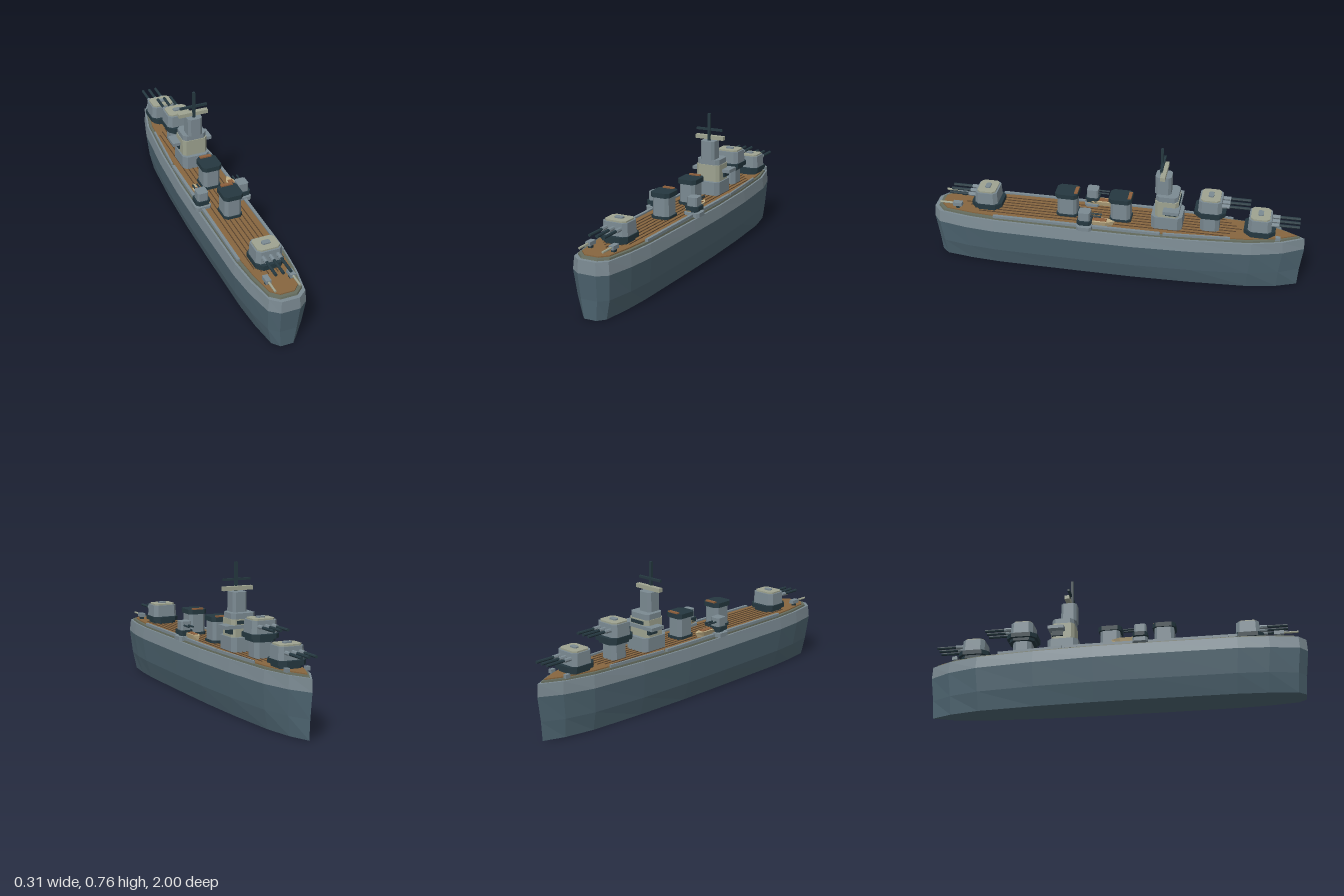
import * as THREE from 'three';

const paint = (name, color) => {
  const m = new THREE.MeshStandardMaterial({ color });
  m.name = name;
  return m;
};

export function createModel() {
  const M = {
    hull: paint('lower hull slate', 0x4d6470),
    grey: paint('ship grey', 0x7b8a92),
    olive: paint('deck edge olive', 0x666d5f),
    wood: paint('deck wood', 0x87663f),
    seam: paint('deck seam', 0x59432e),
    dark: paint('dark steel', 0x253840),
    cream: paint('pale roof', 0x9ea390),
    boat: paint('boat cream', 0xbfae86),
    rust: paint('warm brown', 0x8d5f3c),
  };
  const ship = new THREE.Group();
  ship.name = 'warship';

  const add = (parent, name, geo, mat) => {
    const mesh = new THREE.Mesh(geo, mat);
    mesh.name = name;
    parent.add(mesh);
    return mesh;
  };
  const group = (parent, name, x, y, z) => {
    const g = new THREE.Group();
    g.name = name;
    g.position.set(x, y, z);
    parent.add(g);
    return g;
  };

  // Flat-faced loft through rings of [x, y, z] points, capped at both ends
  const loft = (rings) => {
    const v = [], n = rings[0].length;
    const tri = (...p) => p.forEach((q) => v.push(...q));
    for (let r = 0; r < rings.length - 1; r++) {
      for (let i = 0; i < n; i++) {
        const j = (i + 1) % n, lo = rings[r], hi = rings[r + 1];
        tri(lo[i], hi[j], lo[j]);
        tri(lo[i], hi[i], hi[j]);
      }
    }
    [rings[0], rings[rings.length - 1]].forEach((ring, top) => {
      const c = [0, 1, 2].map((k) => ring.reduce((s, p) => s + p[k], 0) / n);
      for (let i = 0; i < n; i++) {
        const j = (i + 1) % n;
        if (top) tri(c, ring[j], ring[i]);
        else tri(c, ring[i], ring[j]);
      }
    });
    const g = new THREE.BufferGeometry();
    g.setAttribute('position', new THREE.Float32BufferAttribute(v, 3));
    g.computeVertexNormals();
    return g;
  };
  // Block with cut corners; w and d are half sizes
  const octagon = (w, d, c, y) => [
    [c - w, y, -d], [w - c, y, -d], [w, y, c - d], [w, y, d - c],
    [w - c, y, d], [c - w, y, d], [-w, y, d - c], [-w, y, c - d],
  ];
  const block = (parent, name, mat, w, d, c, y0, y1, taper = 1) =>
    add(parent, name, loft([octagon(w, d, c, y0), octagon(w * taper, d * taper, c * taper, y1)]), mat);
  const box = (parent, name, mat, w, h, d, x, y, z) => {
    const m = add(parent, name, new THREE.BoxGeometry(w, h, d), mat);
    m.position.set(x, y, z);
    return m;
  };
  const barrel = (parent, name, mat, r, z0, z1, x, y) => {
    const g = new THREE.CylinderGeometry(r, r, z1 - z0, 8).rotateX(Math.PI / 2).toNonIndexed();
    g.computeVertexNormals();
    add(parent, name, g, mat).position.set(x, y, (z0 + z1) / 2);
  };

  // Hull and deck share one plan outline; the bow points to -z
  const half = [[0.062, -0.89], [0.107, -0.73], [0.136, -0.42], [0.15, -0.1], [0.15, 0.2],
    [0.145, 0.65], [0.13, 0.81], [0.1, 0.96], [0.05, 1]];
  const plan = [[0, -1], ...half, ...half.map(([x, z]) => [-x, z]).reverse()];
  const ring = (y, sx, sz) => plan.map(([x, z]) => [x * sx, y, z * sz]);
  add(ship, 'lowerHull', loft([ring(0, 0.67, 0.978), ring(0.1, 0.88, 0.984), ring(0.23, 1, 1)]), M.hull);
  add(ship, 'upperHull', loft([ring(0.23, 1, 1), ring(0.295, 0.94, 0.996)]), M.grey);
  add(ship, 'deckEdge', loft([ring(0.295, 0.87, 0.975), ring(0.305, 0.86, 0.972)]), M.olive);
  add(ship, 'woodDeck', loft([ring(0.305, 0.75, 0.955), ring(0.311, 0.75, 0.955)]), M.wood);
  for (let i = -3; i <= 3; i++) {
    const length = 1.5 - Math.abs(i) * 0.06;
    box(ship, 'deckSeam', M.seam, 0.004, 0.004, length, i * 0.025, 0.312, 0.08);
  }
  for (const s of [-1, 1]) {
    box(ship, 'sideRail', M.grey, 0.016, 0.014, 0.9, s * 0.118, 0.312, 0.2);
    const foreRail = box(ship, 'foreRail', M.grey, 0.01, 0.014, 0.35, s * 0.106, 0.312, -0.44);
    foreRail.rotation.y = s * 0.07;
  }

  // Triple-gun turrets, modelled facing +z
  const turret = (name, y, z, turn) => {
    const t = group(ship, name, 0, y, z);
    t.rotation.y = turn;
    block(t, 'turretRing', M.dark, 0.062, 0.068, 0.025, 0, 0.02);
    block(t, 'turretCollar', M.dark, 0.076, 0.082, 0.03, 0.016, 0.04);
    block(t, 'gunHouse', M.grey, 0.071, 0.062, 0.02, 0.04, 0.105, 0.95);
    block(t, 'turretRoof', M.cream, 0.06, 0.05, 0.016, 0.105, 0.113);
    block(t, 'roofHatch', M.grey, 0.022, 0.014, 0.006, 0.113, 0.12);
    for (const x of [-0.039, 0, 0.039]) {
      barrel(t, 'gunSleeve', M.grey, 0.011, 0.05, 0.1, x, 0.077);
      barrel(t, 'gunBarrel', M.dark, 0.008, 0.09, 0.205, x, 0.077);
    }
  };
  turret('aftTurret', 0.311, 0.702, 0);
  turret('foreTurret', 0.311, -0.762, Math.PI);
  turret('raisedTurret', 0.395, -0.5, Math.PI);
  const barbette = group(ship, 'barbette', 0, 0, -0.5);
  block(barbette, 'barbetteDrum', M.grey, 0.05, 0.05, 0.02, 0.305, 0.4);

  // Bridge tower in stacked tiers
  const bridge = group(ship, 'bridge', 0, 0, -0.275);
  block(bridge, 'bridgeBase', M.grey, 0.076, 0.082, 0.022, 0.305, 0.385);
  block(bridge, 'bridgeMiddle', M.cream, 0.069, 0.062, 0.016, 0.385, 0.476);
  box(bridge, 'bridgeWings', M.grey, 0.225, 0.018, 0.085, 0, 0.438, -0.028);
  for (const s of [-1, 1]) box(bridge, 'wingBrace', M.dark, 0.016, 0.028, 0.06, s * 0.07, 0.415, -0.025);
  box(bridge, 'bridgeWindows', M.dark, 0.09, 0.018, 0.006, 0, 0.46, -0.062);
  block(bridge, 'bridgeTop', M.grey, 0.066, 0.058, 0.018, 0.476, 0.505);
  const tower = group(bridge, 'tower', 0, 0, 0.025);
  block(tower, 'towerShaft', M.grey, 0.041, 0.042, 0.014, 0.505, 0.607);
  box(tower, 'rangefinder', M.cream, 0.167, 0.021, 0.026, 0, 0.623, -0.002);
  box(tower, 'mast', M.dark, 0.014, 0.15, 0.014, 0, 0.682, 0.012);
  box(tower, 'mastYard', M.dark, 0.154, 0.012, 0.012, 0, 0.668, 0.006);

  // Funnels
  for (const z of [-0.024, 0.264]) {
    const f = group(ship, 'funnel', 0, 0, z);
    block(f, 'funnelFoot', M.dark, 0.052, 0.058, 0.018, 0.305, 0.325);
    block(f, 'funnelBody', M.grey, 0.046, 0.052, 0.016, 0.325, 0.425);
    block(f, 'funnelCap', M.dark, 0.054, 0.061, 0.018, 0.425, 0.45);
    box(f, 'funnelVent', M.rust, 0.064, 0.02, 0.018, 0, 0.447, -0.049);
  }

  // Side gun mounts, boats and stern guns, mirrored
  const boatPlan = [[0, -0.1], [0.022, -0.055], [0.024, 0.05], [0.016, 0.095],
    [-0.016, 0.095], [-0.024, 0.05], [-0.022, -0.055]];
  const boatRing = (y, s) => boatPlan.map(([x, z]) => [x * s, y, z * (0.6 + 0.4 * s)]);
  for (const s of [-1, 1]) {
    const mount = group(ship, 'sideMount', s * 0.113, 0, 0.15);
    block(mount, 'mountSponson', M.grey, 0.044, 0.04, 0.012, 0.303, 0.325);
    block(mount, 'mountPedestal', M.dark, 0.024, 0.026, 0.008, 0.325, 0.34);
    block(mount, 'mountCollar', M.dark, 0.039, 0.038, 0.012, 0.336, 0.358);
    block(mount, 'mountHouse', M.grey, 0.029, 0.031, 0.008, 0.358, 0.405);
    for (const x of [-0.012, 0.012]) barrel(mount, 'mountBarrel', M.dark, 0.005, -0.09, -0.025, x, 0.384);

    const boat = group(ship, 'boat', s * 0.095, 0, 0.092);
    add(boat, 'boatHull', loft([boatRing(0.317, 0.6), boatRing(0.345, 1)]), M.boat);
    box(boat, 'boatSeat', M.rust, 0.026, 0.006, 0.09, 0, 0.346, -0.01);

    const aa = group(ship, 'sternGun', s * 0.064, 0, 0.86);
    box(aa, 'sternGunFoot', M.dark, 0.02, 0.02, 0.02, 0, 0.319, 0);
    box(aa, 'sternGunShield', M.grey, 0.028, 0.02, 0.05, 0, 0.335, 0);
    barrel(aa, 'sternGunBarrel', M.cream, 0.006, 0.02, 0.098, 0, 0.336);
    box(ship, 'bowBollard', M.grey, 0.02, 0.02, 0.026, s * 0.055, 0.315, -0.86);
  }
  return ship;
}
